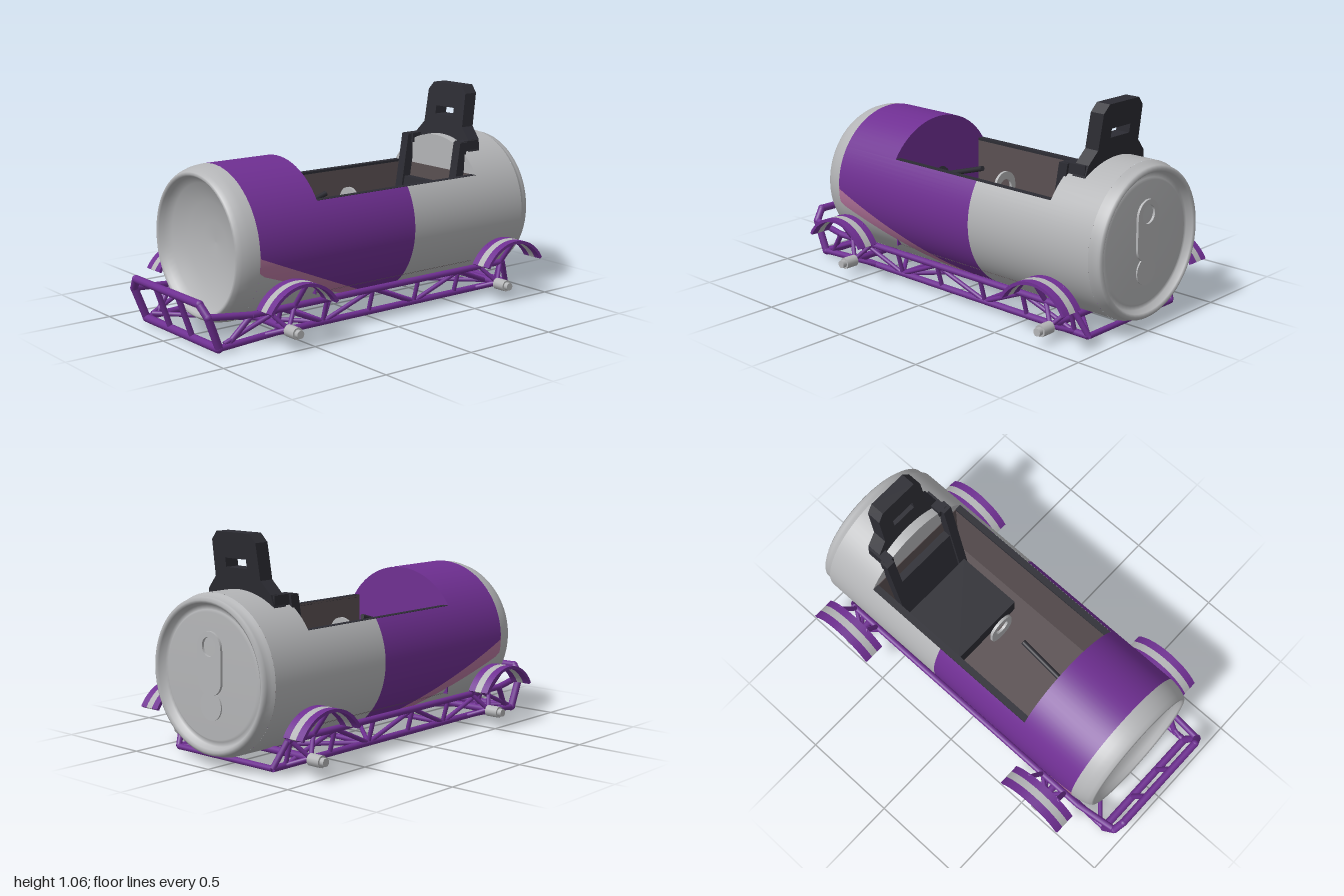
import * as THREE from 'three';

const material = (name, color, side = THREE.FrontSide) => {
  const m = new THREE.MeshStandardMaterial({ color, side });
  m.name = name;
  return m;
};

export function createModel() {
  const silver = material('silver', 0xb4b5b7);
  const purple = material('purple', 0x6f2f92);
  const pink = material('pink', 0xb4749c);
  const dark = material('charcoal', 0x2c2c33);
  const brown = material('interior brown', 0x5a5052, THREE.DoubleSide);

  const root = new THREE.Group();
  const add = (name, geometry, mat, parent = root) => {
    const mesh = new THREE.Mesh(geometry, mat);
    mesh.name = name;
    parent.add(mesh);
    return mesh;
  };
  const group = (name) => {
    const g = new THREE.Group();
    g.name = name;
    root.add(g);
    return g;
  };
  const box = (name, w, h, d, x, y, z, mat, parent) =>
    add(name, new THREE.BoxGeometry(w, h, d).translate(x, y, z), mat, parent);
  const extrude = (shape, depth, z) =>
    new THREE.ExtrudeGeometry(shape, { depth, bevelEnabled: false, curveSegments: 20 }).translate(0, 0, z);
  const polygon = (pts) => new THREE.Shape(pts.map(([x, y]) => new THREE.Vector2(x, y)));

  // Can dimensions and cockpit opening
  const R = 0.375, CY = 0.425, SILL = 0.63, OPEN_F = 0.345, OPEN_R = -0.67;
  const a = Math.asin((SILL - CY) / R);

  // Strip of can skin between two z limits, each a function of height
  const skin = (name, t0, t1, n, zFrom, zTo, mat, parent) => {
    const pos = [], nor = [], idx = [];
    for (let i = 0; i <= n; i++) {
      const t = t0 + ((t1 - t0) * i) / n, c = Math.cos(t), s = Math.sin(t), y = CY + R * s;
      for (const f of [zFrom, zTo]) {
        pos.push(R * c, y, f(y));
        nor.push(c, s, 0);
      }
      if (i < n) {
        const k = i * 2;
        idx.push(k, k + 2, k + 3, k, k + 3, k + 1);
      }
    }
    const g = new THREE.BufferGeometry();
    g.setAttribute('position', new THREE.Float32BufferAttribute(pos, 3));
    g.setAttribute('normal', new THREE.Float32BufferAttribute(nor, 3));
    g.setIndex(idx);
    add(name, g, mat, parent);
  };
  const at = (z) => () => z;
  const stripeTop = (y) => Math.min(0.71, 0.71 - (0.42 - y) / 0.42);
  const stripeLow = (y) => Math.min(0.71, 0.71 - (0.34 - y) / 0.36);
  const body = group('canBody');
  const lo = [Math.PI - a, 2 * Math.PI + a, 72], hi = [a, Math.PI - a, 24];
  skin('rearSkin', ...lo, at(-0.94), at(-0.21), silver, body);
  skin('purpleSkin', ...lo, at(-0.21), stripeTop, purple, body);
  skin('pinkStripe', ...lo, stripeTop, stripeLow, pink, body);
  skin('frontLowerSkin', ...lo, stripeLow, at(0.71), silver, body);
  skin('rearDeck', ...hi, at(-0.94), at(OPEN_R), silver, body);
  skin('hood', ...hi, at(OPEN_F), at(0.71), purple, body);

  // Domed front end and recessed rear lid
  const lathe = (name, pts) => add(name, new THREE.LatheGeometry(
    pts.map(([r, z]) => new THREE.Vector2(r, z)), 64).rotateX(Math.PI / 2).translate(0, CY, 0), silver, body);
  lathe('frontDome', [[R, 0.71], [0.37, 0.755], [0.357, 0.795], [0.345, 0.815], [0.335, 0.82],
    [0.325, 0.812], [0.318, 0.79], [0.29, 0.76], [0.2, 0.725], [0.1, 0.705], [0, 0.7]]);
  lathe('rearLid', [[0, -0.972], [0.29, -0.972], [0.3, -0.962], [0.322, -0.962], [0.332, -0.992],
    [0.345, -1], [0.36, -0.99], [0.357, -0.975], [0.367, -0.955], [R, -0.94]]);

  // Pull tab and opening on the lid
  const capsule = (r, yLow, yHigh) => {
    const s = new THREE.Shape();
    s.absarc(0, yHigh - r, r, 0, Math.PI);
    s.absarc(0, yLow + r, r, Math.PI, 2 * Math.PI);
    return s;
  };
  const hole = (x, y, r) => new THREE.Path().absarc(x, y, r, 0, Math.PI * 2, true);
  const tab = capsule(0.075, 0.335, 0.63);
  tab.holes.push(hole(0, 0.56, 0.045));
  add('pullTab', extrude(tab, 0.012, -0.984), silver, body);
  const mouth = new THREE.Shape().absarc(0, 0.29, 0.068, 0, Math.PI * 2);
  add('lidOpening', extrude(mouth, 0.008, -0.979), silver, body);

  // Cockpit tub
  const cockpit = group('cockpit');
  const len = OPEN_F - OPEN_R, mid = (OPEN_F + OPEN_R) / 2;
  box('floor', 0.56, 0.01, len, 0, 0.18, mid, brown, cockpit);
  box('rearWall', 0.56, SILL - 0.18, 0.006, 0, (SILL + 0.18) / 2, OPEN_R, brown, cockpit);
  box('dashboard', 0.62, SILL - 0.18, 0.006, 0, (SILL + 0.18) / 2, OPEN_F + 0.003, purple, cockpit);
  for (const s of [-1, 1]) {
    box('sideWall', 0.006, SILL - 0.18, len, s * 0.282, (SILL + 0.18) / 2, mid, brown, cockpit);
    box('sill', 0.034, 0.012, len, s * 0.296, SILL - 0.005, mid, dark, cockpit);
  }
  const segment = () => new THREE.Shape().absarc(0, CY, R - 0.001, a, Math.PI - a);
  add('frontBulkhead', extrude(segment(), 0.006, OPEN_F), purple, cockpit);
  add('rearBulkhead', extrude(segment(), 0.006, OPEN_R - 0.006), silver, cockpit);

  // Straight tube between two points
  const tube = (name, p, q, r, mat, parent) => {
    const A = new THREE.Vector3(...p), B = new THREE.Vector3(...q), d = B.clone().sub(A);
    const m = add(name, new THREE.CylinderGeometry(r, r, d.length(), 12), mat, parent);
    m.position.copy(A).add(B).multiplyScalar(0.5);
    m.quaternion.setFromUnitVectors(new THREE.Vector3(0, 1, 0), d.normalize());
    return m;
  };

  // Steering
  const steering = group('steering');
  tube('steeringColumn', [0, 0.577, 0.05], [0, 0.488, OPEN_F], 0.013, dark, steering);
  tube('columnBase', [0, 0.495, 0.325], [0, 0.488, OPEN_F], 0.042, dark, steering);
  const wheel = capsule(0.07, 0.4, 0.59);
  wheel.holes.push(hole(0, 0.51, 0.042));
  add('steeringPlate', extrude(wheel, 0.014, -0.107), silver, steering);

  // Seat
  const seat = group('seat');
  box('cushion', 0.42, 0.1, 0.36, 0, 0.24, -0.38, dark, seat);
  const lean = (g, k, y0) => {
    const p = g.attributes.position;
    for (let i = 0; i < p.count; i++) p.setZ(i, p.getZ(i) - (p.getY(i) - y0) * k);
    g.computeVertexNormals();
    return g;
  };
  add('backrest', lean(new THREE.BoxGeometry(0.4, 0.36, 0.04).translate(0, 0.38, -0.585), 0.15, 0.22), dark, seat);
  for (const s of [-1, 1]) {
    add('bolster', lean(new THREE.BoxGeometry(0.05, 0.57, 0.05).translate(s * 0.2, 0.5, -0.575), 0.16, 0.22), dark, seat);
    box('headrestBracket', 0.05, 0.05, 0.12, s * 0.187, 0.763, -0.72, dark, seat);
  }
  const half = [[0.215, 0.73], [0.2, 0.79], [0.145, 0.85], [0.14, 1.02], [0.105, 1.06]];
  const head = polygon([...half, ...half.map(([x, y]) => [-x, y]).reverse(), [-0.11, 0.775], [0, 0.795], [0.11, 0.775]]);
  head.holes.push(new THREE.Path([[-0.067, 0.897], [-0.067, 0.94], [0.067, 0.94], [0.067, 0.897]]
    .map(([x, y]) => new THREE.Vector2(x, y))));
  add('headrest', lean(extrude(head, 0.075, -0.785), 0.14, 0.74), dark, seat);

  // Tubular chassis
  const chassis = group('chassis');
  const bar = (name, p, q, r = 0.014) => tube(name, p, q, r, purple, chassis);
  const LX = 0.31, LY = 0.04, UX = 0.345, UY = 0.16;
  const joint = (p, r) => add('joint', new THREE.SphereGeometry(r, 12, 8).translate(...p), purple, chassis);
  const low = [0.87, 0.31, -0.26, -0.82], up = [0.58, 0.03, -0.53];
  for (const s of [-1, 1]) {
    const L = (z) => [s * LX, LY, z], U = (z) => [s * UX, UY, z];
    bar('lowerRail', [s * 0.315, 0.025, 0.9], L(0.58), 0.016);
    bar('lowerRail', L(0.58), L(-0.9), 0.016);
    bar('upperRail', U(0.74), U(-0.84), 0.016);
    bar('rearPost', U(-0.84), L(-0.9));
    bar('frontPost', U(0.74), L(0.84));
    up.forEach((z, i) => {
      bar('truss', L(low[i]), U(z), 0.011);
      bar('truss', U(z), L(low[i + 1]), 0.011);
      bar('trussPost', L(z), U(z), 0.011);
      bar('trussPost', L(low[i + 1]), U(low[i + 1]), 0.011);
    });
    // Bumper sides
    const path = [[s * 0.315, 0.025, 0.9], [s * 0.32, 0.18, 0.96], [s * 0.275, 0.235, 0.975]];
    path.forEach((p, i) => {
      joint(p, 0.02);
      if (i) bar('bumperSide', path[i - 1], p, 0.019);
    });
    bar('bumperStay', path[1], U(0.74), 0.016);
    bar('bumperPost', [s * 0.095, 0.025, 0.9], [s * 0.095, 0.235, 0.975], 0.014);
  }
  bar('bumperTop', [-0.275, 0.235, 0.975], [0.275, 0.235, 0.975], 0.019);
  bar('bumperBottom', [-0.315, 0.022, 0.9], [0.315, 0.022, 0.9], 0.02);
  for (const z of [0.31, -0.26, -0.9]) bar('crossMember', [-LX, LY, z], [LX, LY, z]);
  bar('diagonalBrace', [-LX, LY, 0.87], [LX, LY, 0.31], 0.011);
  bar('diagonalBrace', [LX, LY, 0.31], [-LX, LY, -0.26], 0.011);
  bar('diagonalBrace', [-LX, LY, -0.26], [LX, LY, -0.9], 0.011);

  // Fenders, axle ends and struts at each corner
  const fenderShape = () => {
    const s = new THREE.Shape(), t = Math.PI / 6;
    s.absarc(0, 0, 0.219, t, Math.PI - t, false);
    s.absarc(0, 0, 0.204, Math.PI - t, t, true);
    return s;
  };
  for (const z of [0.575, -0.75]) {
    bar('axle', [-0.41, 0.075, z], [0.41, 0.075, z], 0.018);
    for (const s of [-1, 1]) {
      [[0.415, 0.453, purple], [0.453, 0.491, silver], [0.491, 0.53, purple]].forEach(([x0, x1, mat]) => {
        const g = extrude(fenderShape(), x1 - x0, 0).rotateY(Math.PI / 2);
        add('fender', g.translate(s > 0 ? x0 : -x1, 0.096, z), mat);
      });
      tube('hub', [s * 0.4, 0.07, z], [s * 0.47, 0.07, z], 0.029, silver, root);
      tube('hubTip', [s * 0.47, 0.07, z], [s * 0.492, 0.07, z], 0.02, silver, root);
      for (const d of [-0.075, 0.075]) {
        bar('fenderStrut', [s * UX, UY, z + d], [s * 0.43, 0.29, z + d * 1.2], 0.012);
        bar('axleArm', [s * UX, UY, z + d], [s * 0.4, 0.075, z], 0.011);
        bar('axleArm', [s * LX, LY, z + d], [s * 0.4, 0.075, z], 0.011);
      }
    }
  }
  return root;
}
